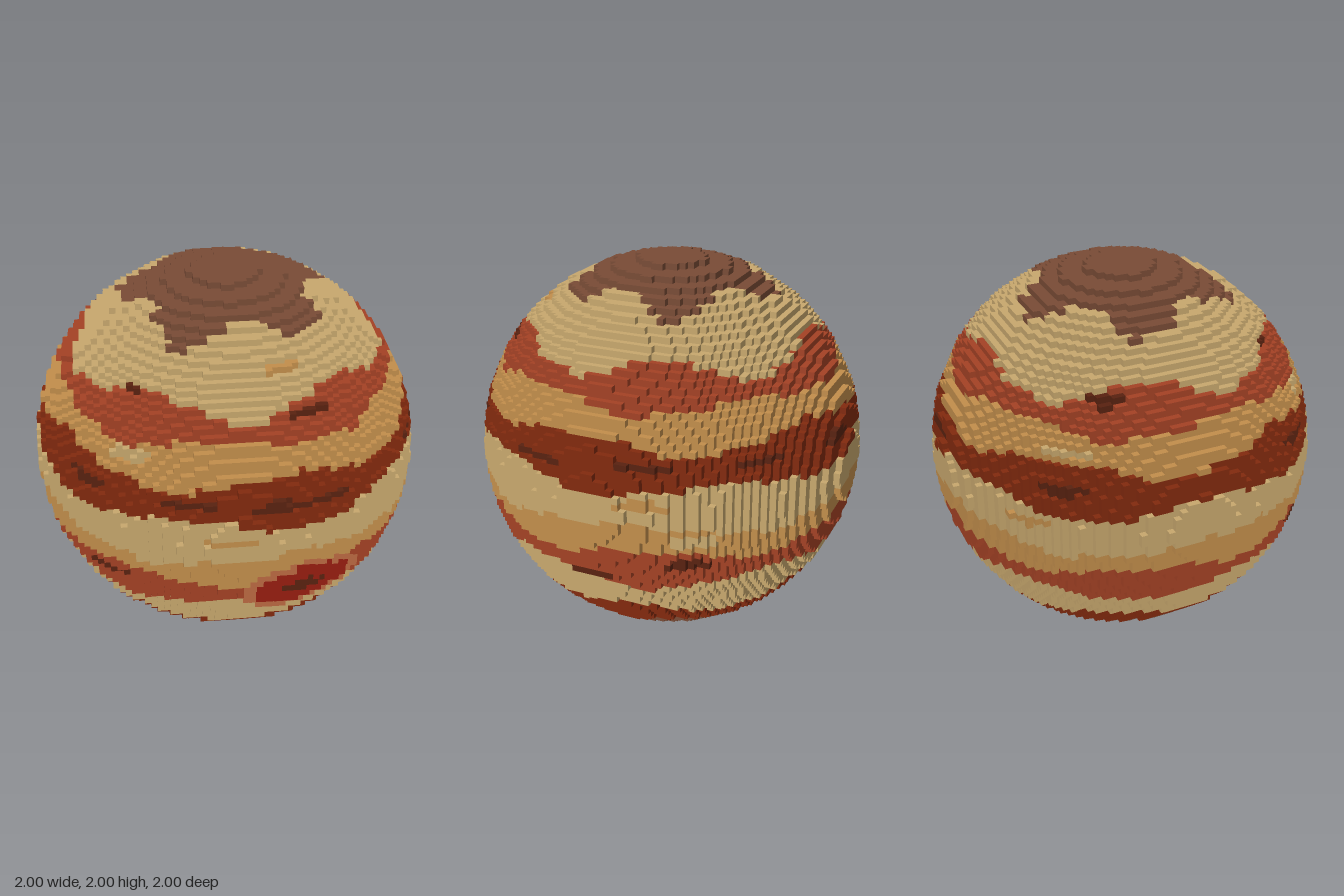
import * as THREE from 'three';

const R = 31;            // sphere radius in blocks
const S = 1 / R;         // block size

const material = (name, color) => Object.assign(new THREE.MeshStandardMaterial({ color }), { name });

// Wavy edges between neighbouring bands, top to bottom:
// mean height, wave height, longitude of a crest (degrees), waves around the globe
const edges = [
  [1.865, 0.045, 7, 5],
  [1.635, 0.045, 38, 5],
  [1.493, 0.03, -5, 5],
  [1.33, 0.037, 13, 5],
  [1.13, 0.038, -16, 5],
  [0.92, 0.035, 11, 4],
  [0.78, 0.035, 36, 5],
  [0.605, 0.04, -1, 5],
  [0.38, 0.04, 27, 5],
  [0.2, 0.045, 50, 5],
];
const bands = ['cap', 'cream', 'russet', 'tan', 'rust', 'cream', 'tan', 'russet', 'cream', 'rust', 'cap'];

// Streak centres inside the bands: longitude, height
const darkStreaks = [
  [10, 1.22], [24, 1.21], [-15, 1.24], [-50, 1.23], [-45, 1.67], [25, 1.6], [-42, 0.72],
  [105, 1.24], [72, 1.21], [140, 1.25], [172, 1.22], [88, 0.62], [118, 0.74], [-120, 1.62], [-130, 1.23],
];
const tanStreaks = [[-4, 1.05], [105, 1.06], [20, 1.76], [-140, 1.04]];
const creamStreaks = [[-35, 1.42], [120, 0.87], [-130, 1.4]];

const inEllipse = (u, v, ru, rv) => (u / ru) ** 2 + (v / rv) ** 2 < 1;
const inStreak = (list, a, y) => list.some(([ca, cy]) => inEllipse(a - ca, y - cy, 8, 0.024));

// Height of one band edge at a longitude, with a fine ripple on the main wave
function edgeHeight([mean, wave, crest, count], a) {
  const t = THREE.MathUtils.degToRad(a - crest);
  return mean + wave * Math.cos(count * t) + 0.008 * Math.sin(13 * t);
}

// Colour name of the block at a position
function colourAt(x, y, z) {
  if (z > 0) { // great oval storm
    const u = x - 0.305, v = y - 0.68;
    if (inEllipse(u, v, 0.11, 0.05)) return 'dark';
    if (inEllipse(u, v, 0.245, 0.145)) return 'storm';
    if (inEllipse(u, v, 0.305, 0.18)) return 'halo';
  }
  const a = THREE.MathUtils.radToDeg(Math.atan2(x, z));
  const band = bands[edges.filter((e) => y < edgeHeight(e, a)).length];
  if ((band === 'rust' || band === 'russet') && inStreak(darkStreaks, a, y)) return 'dark';
  if (band === 'cream' && inStreak(tanStreaks, a, y)) return 'tan';
  if (band === 'tan' && inStreak(creamStreaks, a, y)) return 'cream';
  return band;
}

const solid = (p) => p[0] ** 2 + p[1] ** 2 + p[2] ** 2 <= R * R;

// Adds one square block face, wound to face outward
function addFace(out, p, axis, sign) {
  const u = (axis + 1) % 3, v = (axis + 2) % 3;
  const corner = (du, dv) => {
    const c = [...p];
    c[axis] += sign * 0.5;
    c[u] += du * 0.5;
    c[v] += dv * 0.5;
    return [c[0] * S, c[1] * S + 1, c[2] * S];
  };
  const q = [corner(-1, -1), corner(1, -1), corner(1, 1), corner(-1, 1)];
  if (sign < 0) q.reverse();
  for (const i of [0, 1, 2, 0, 2, 3]) out.push(...q[i]);
}

export function createModel() {
  const parts = {
    cap: ['polarCaps', material('cap brown', 0x7a4c36)],
    cream: ['creamZones', material('cream', 0xc9a96e)],
    tan: ['tanZones', material('tan', 0xc48f4c)],
    russet: ['russetBelts', material('russet', 0xa54225)],
    rust: ['rustBelts', material('dark rust', 0x832a0e)],
    dark: ['darkStreaks', material('dark brown', 0x5a2210)],
    storm: ['stormOval', material('storm red', 0x981e10)],
    halo: ['stormHalo', material('halo salmon', 0xbc6a42)],
  };
  const faces = Object.fromEntries(Object.keys(parts).map((k) => [k, []]));

  // Exposed faces of every block in the sphere
  for (let x = 0.5 - R; x < R; x++)
    for (let y = 0.5 - R; y < R; y++)
      for (let z = 0.5 - R; z < R; z++) {
        const p = [x, y, z];
        if (!solid(p)) continue;
        for (let axis = 0; axis < 3; axis++)
          for (const sign of [-1, 1]) {
            const n = [...p];
            n[axis] += sign;
            if (!solid(n)) addFace(faces[colourAt(x * S, y * S + 1, z * S)], p, axis, sign);
          }
      }

  const planet = new THREE.Group();
  planet.name = 'planet';
  for (const [key, [name, mat]] of Object.entries(parts)) {
    const geometry = new THREE.BufferGeometry();
    geometry.setAttribute('position', new THREE.Float32BufferAttribute(faces[key], 3));
    geometry.computeVertexNormals();
    const mesh = new THREE.Mesh(geometry, mat);
    mesh.name = name;
    planet.add(mesh);
  }
  return planet;
}
